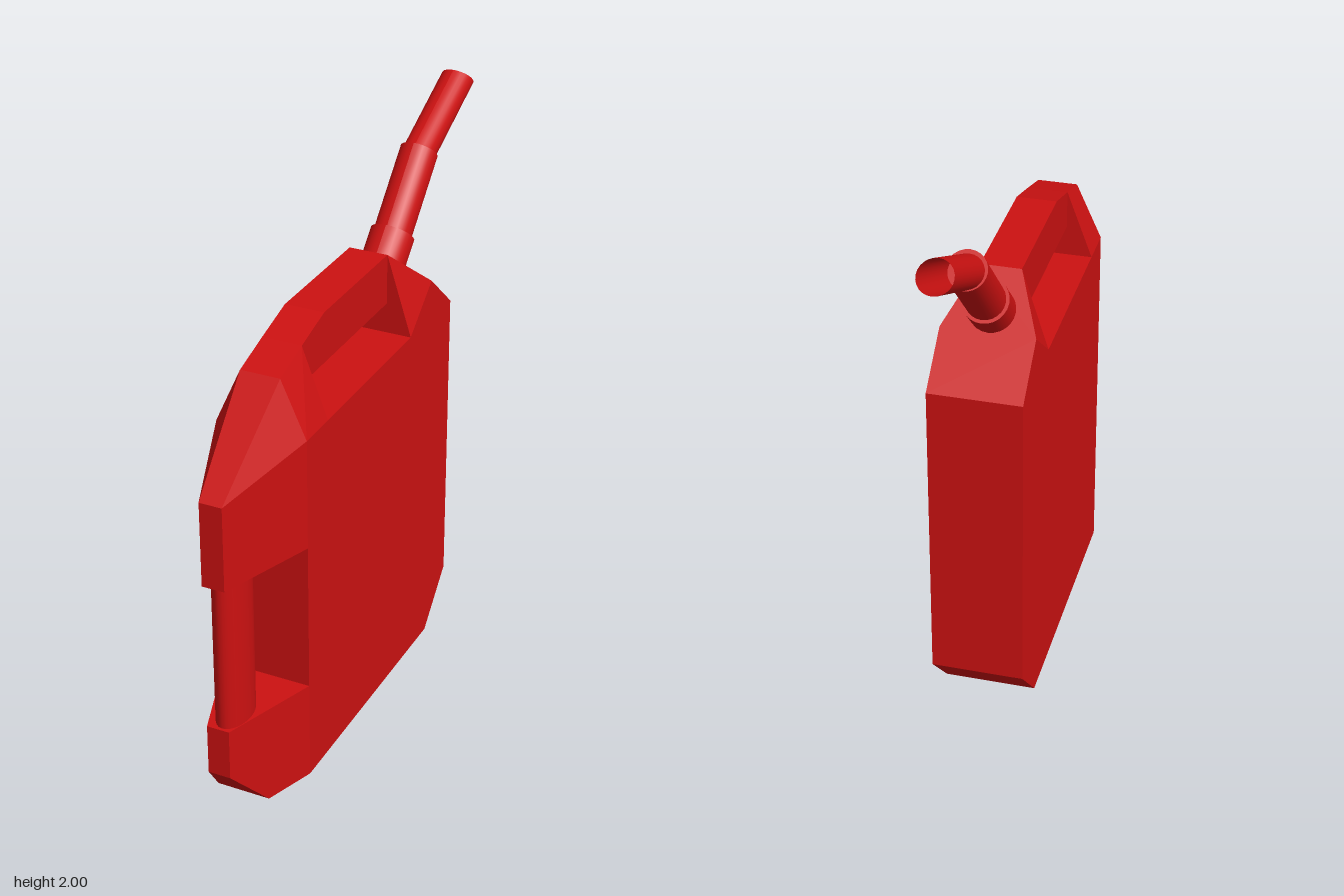
import * as THREE from 'three';
import { ConvexGeometry } from 'three/addons/geometries/ConvexGeometry.js';

export function createModel() {
  const model = new THREE.Group();
  model.name = 'fuelCan';
  const flatRed = new THREE.MeshStandardMaterial({ color: 0xcc1111, flatShading: true });
  const smoothRed = new THREE.MeshStandardMaterial({ color: 0xcc1111, side: THREE.DoubleSide });

  const add = (name, geometry, material = flatRed) => {
    const mesh = new THREE.Mesh(geometry, material);
    mesh.name = name;
    model.add(mesh);
    return mesh;
  };

  // Side profile of [z, y] points, extruded across x to +-halfWidth
  const slab = (name, halfWidth, profile) => {
    const shape = new THREE.Shape(profile.map(([z, y]) => new THREE.Vector2(-z, y)));
    const geo = new THREE.ExtrudeGeometry(shape, { depth: halfWidth * 2, bevelEnabled: false });
    geo.translate(0, 0, -halfWidth).rotateY(Math.PI / 2);
    return add(name, geo);
  };

  // Convex block from [halfWidth, y, z] points mirrored in x
  const block = (name, points) => add(name, new ConvexGeometry(points.flatMap(([x, y, z]) =>
    [new THREE.Vector3(x, y, z), new THREE.Vector3(-x, y, z)])));

  // Main tank with chamfered back corners
  slab('tank', 0.16, [[0.62, 0], [0.62, 1.3], [-0.17, 1.3], [-0.34, 1.44],
    [-0.51, 1.29], [-0.51, 0.18], [-0.34, 0]]);

  // Tapered nose above and below the grip opening
  block('upperNose', [[0.16, 0.905, 0.62], [0.16, 1.3, 0.62], [0.07, 1.5, 0.62],
    [0.04, 1.21, 0.96], [0.04, 0.905, 0.96]]);
  block('lowerNose', [[0.16, 0, 0.62], [0.16, 0.365, 0.62], [0.04, 0.365, 0.96],
    [0.04, 0.18, 0.96], [0.096, 0, 0.8]]);

  // Top handle and the shoulders that carry it
  slab('topHandle', 0.07, [[0.47, 1.41], [0.47, 1.545], [0.31, 1.59], [-0.17, 1.59], [-0.17, 1.41]]);
  block('frontShoulder', [[0.16, 1.3, 0.62], [0.07, 1.5, 0.62], [0.07, 1.545, 0.47], [0.16, 1.3, 0.47]]);
  block('backShoulder', [[0.16, 1.3, -0.17], [0.07, 1.59, -0.17], [0.16, 1.44, -0.34]]);

  // Oval upright grip
  const grip = add('frontGrip', new THREE.CylinderGeometry(1, 1, 0.54, 24, 1, true), smoothRed);
  grip.scale.set(0.055, 1, 0.095);
  grip.position.set(0.01, 0.635, 0.855);

  // Spout sections between [y, z] centres; all rings lie on parallel 45 degree planes
  const section = (name, radius, [y0, z0], [y1, z1], open) => {
    const geo = new THREE.CylinderGeometry(radius, radius, 1, 24, 1, open);
    const pos = geo.attributes.position;
    for (let i = 0; i < pos.count; i++) {
      const t = pos.getY(i) + 0.5;
      const offset = pos.getZ(i) * Math.SQRT1_2;
      pos.setY(i, y0 + (y1 - y0) * t + offset);
      pos.setZ(i, z0 + (z1 - z0) * t + offset);
    }
    geo.computeVertexNormals();
    add(name, geo, smoothRed);
  };
  section('spoutCollar', 0.078, [1.46, -0.25], [1.575, -0.365], false);
  section('spoutNeck', 0.067, [1.55, -0.34], [1.8, -0.58], false);
  section('spoutTip', 0.058, [1.79, -0.57], [1.958, -0.91], true);

  return model;
}
